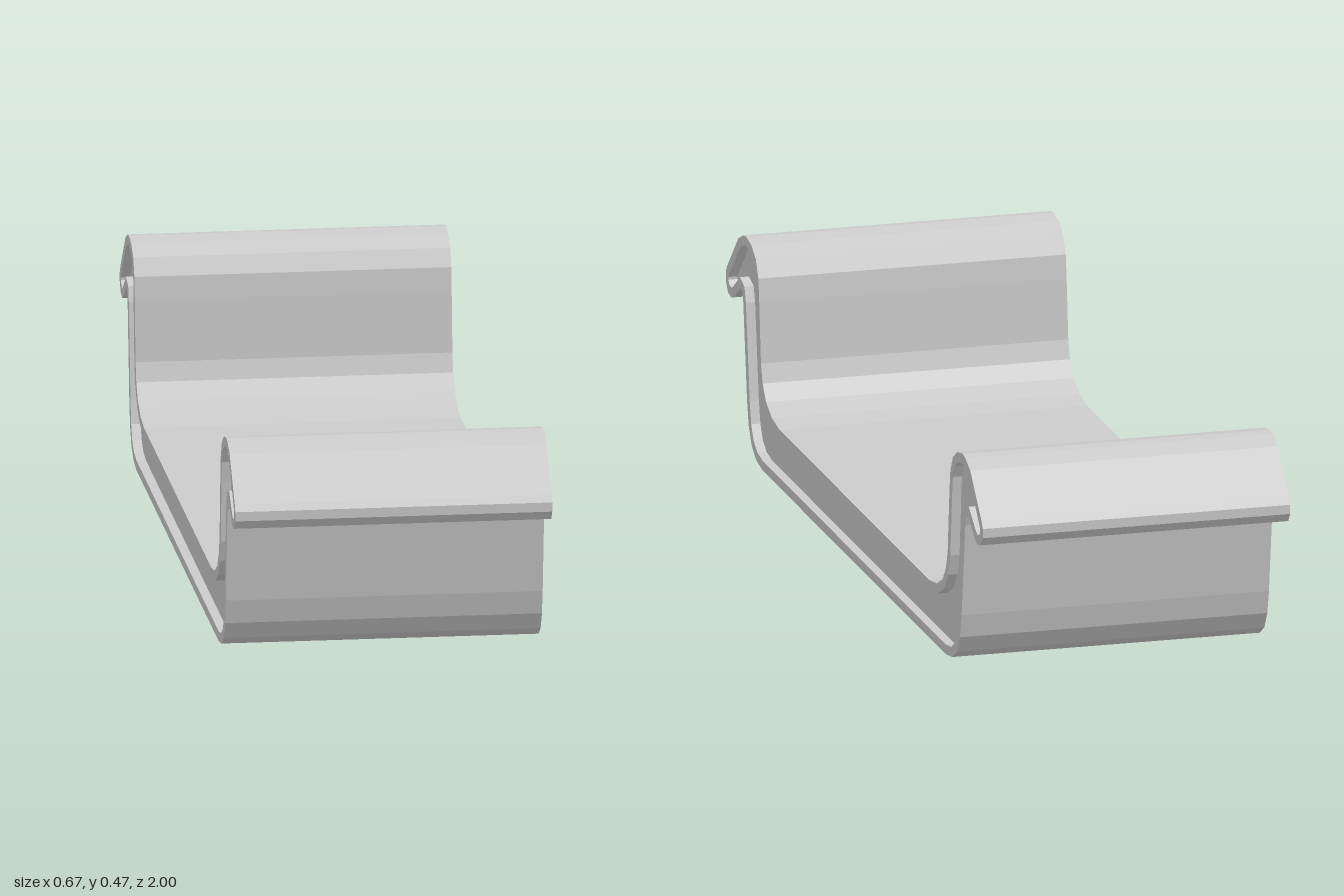
import * as THREE from 'three';

const HALF_W = 0.335; // half the width of the tray
const RIM = 0.021;    // rim border around each end panel
const INSET = 0.02;   // depth of the end panels
const V = (x, y, z) => new THREE.Vector3(x, y, z);

// Half profile: bottom corner, outer wall, hooked lip, inner wall, floor
const HALF = [
  [0.71, 0], [0.76, 0.008], [0.797, 0.03], [0.82, 0.068], [0.833, 0.12],
  [0.862, 0.325], [0.869, 0.345], [0.885, 0.35], [0.935, 0.316], [0.957, 0.309],
  [0.982, 0.315], [0.998, 0.335], [0.998, 0.355], [0.988, 0.369],
  [0.90, 0.455], [0.862, 0.472], [0.84, 0.475], [0.80, 0.468], [0.765, 0.447],
  [0.745, 0.41], [0.738, 0.36], [0.725, 0.23], [0.712, 0.19], [0.685, 0.157],
  [0.64, 0.135], [0.58, 0.126],
];

// Moves every edge of a counter-clockwise loop inward by d
function insetLoop(loop, d) {
  const n = loop.length;
  return loop.map((p, i) => {
    const e1 = p.clone().sub(loop[(i + n - 1) % n]).normalize();
    const e2 = loop[(i + 1) % n].clone().sub(p).normalize();
    const n1 = new THREE.Vector2(-e1.y, e1.x), n2 = new THREE.Vector2(-e2.y, e2.x);
    const miter = n1.clone().add(n2);
    return p.clone().addScaledVector(miter, d / (1 + n1.dot(n2)));
  });
}

// Quads between two rows of points
function strip(a, b, closed) {
  const pos = [], n = a.length;
  for (let i = 0; i < (closed ? n : n - 1); i++) {
    const j = (i + 1) % n;
    for (const p of [a[i], a[j], b[j], a[i], b[j], b[i]]) pos.push(p.x, p.y, p.z);
  }
  const g = new THREE.BufferGeometry();
  g.setAttribute('position', new THREE.Float32BufferAttribute(pos, 3));
  g.computeVertexNormals();
  return g;
}

export function createModel() {
  const root = new THREE.Group();
  root.name = 'tray';
  const body = new THREE.Group(); // profile lies in local xy, width along local z
  body.name = 'body';
  body.rotation.y = Math.PI / 2;
  root.add(body);

  const mat = new THREE.MeshStandardMaterial({ color: 0xcccccc, flatShading: true });
  const add = (parent, name, geo) => {
    const m = new THREE.Mesh(geo, mat);
    m.name = name;
    parent.add(m);
    return m;
  };

  const outer = [
    ...HALF.map(([x, y]) => new THREE.Vector2(x, y)),
    ...HALF.slice().reverse().map(([x, y]) => new THREE.Vector2(-x, y)),
  ];
  const inner = insetLoop(outer, RIM);
  const at = (loop, z) => loop.map((p) => V(p.x, p.y, z));

  // Skin, open along the flat underside
  add(body, 'skin', strip(at(outer, -HALF_W), at(outer, HALF_W), false));

  // Both ends: raised rim, step and sunken panel
  for (const turn of [0, Math.PI]) {
    const side = new THREE.Group();
    side.name = turn ? 'rightSide' : 'leftSide';
    side.rotation.y = turn;
    add(side, 'rim', strip(at(outer, HALF_W), at(inner, HALF_W), true));
    add(side, 'rimStep', strip(at(inner, HALF_W), at(inner, HALF_W - INSET), true));
    add(side, 'sidePanel', new THREE.ShapeGeometry(new THREE.Shape(inner)))
      .position.z = HALF_W - INSET;
    body.add(side);
  }

  // Underside with a rectangular opening
  const L = HALF[0][0], l = 0.49, w = 0.13;
  const rect = (x, z) => [[-x, -z], [x, -z], [x, z], [-x, z]].map(([p, q]) => new THREE.Vector2(p, q));
  const under = new THREE.Shape(rect(L, HALF_W));
  under.holes.push(new THREE.Path(rect(l, w)));
  add(body, 'underside', new THREE.ShapeGeometry(under).rotateX(Math.PI / 2));

  // Wedge-shaped recess, deepest towards the front
  const mouth = rect(l, w).map((p) => V(p.x, 0, p.y));
  const floor = mouth.map((p) => V(p.x, p.x < 0 ? 0.022 : 0.002, p.z));
  add(body, 'recessWalls', strip(mouth, floor, true));
  add(body, 'recessFloor', strip([floor[0], floor[1]], [floor[3], floor[2]], false));

  return root;
}
